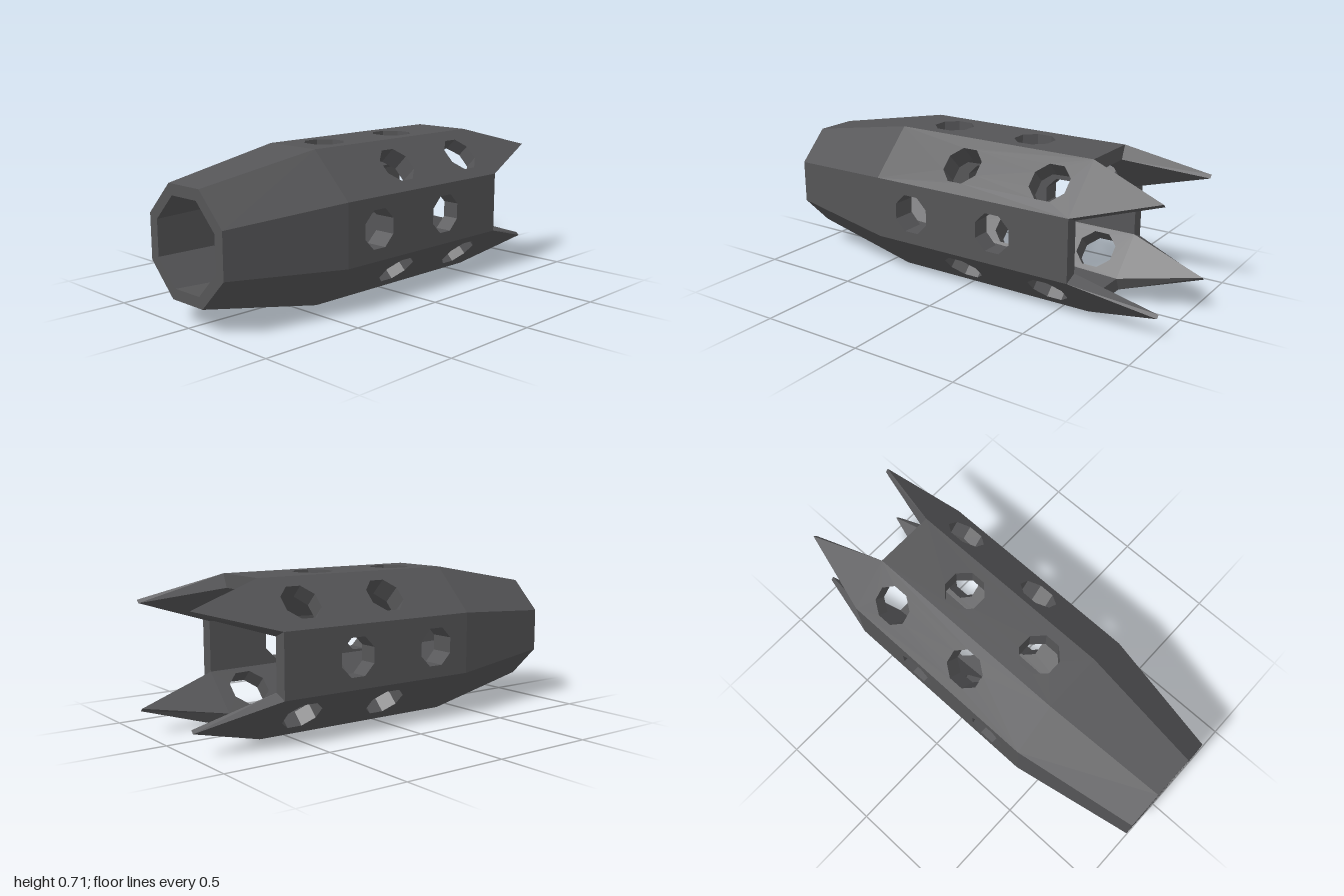
import * as THREE from 'three';

const REAR = -1, BEND = -0.41, FRONT = 0.625, TIP = 1;
const R_REAR = 0.25, R_OUT = 0.354, R_TIP = 0.334;
const HALF = Math.tan(Math.PI / 8); // half side length per unit of apothem
const HOLE = 0.089;

// Bore tapers evenly from the front to the rear
const bore = x => 0.2 + 0.09 * (x - REAR) / (FRONT - REAR);

// Collects flat polygons given as counter-clockwise corners
function builder() {
  const pos = [];
  return {
    face(...p) {
      for (let i = 1; i < p.length - 1; i++) pos.push(...p[0], ...p[i], ...p[i + 1]);
    },
    geometry() {
      const g = new THREE.BufferGeometry();
      g.setAttribute('position', new THREE.Float32BufferAttribute(pos, 3));
      g.computeVertexNormals();
      return g;
    }
  };
}

// Corner of a side at station x, apothem r, edge s (-1 or 1)
const corner = (x, r, s) => [x, r, s * r * HALF];

// Eight-sided vent outline
function ring(cx) {
  const r = HOLE / Math.cos(Math.PI / 8);
  return Array.from({ length: 8 }, (_, i) => {
    const a = (i + 0.5) * Math.PI / 4;
    return new THREE.Vector2(cx + r * Math.cos(a), r * Math.sin(a));
  });
}

// One side of the octagonal tube, lying on +y, with two vents
function panelGeometry(vents, hasSpike) {
  const b = builder();
  const rings = vents.map(ring);

  // perforated outer and inner skins
  const skin = (radius, inward) => {
    const w0 = radius(BEND) * HALF, w1 = radius(FRONT) * HALF;
    const shape = new THREE.Shape([
      new THREE.Vector2(BEND, -w0), new THREE.Vector2(FRONT, -w1),
      new THREE.Vector2(FRONT, w1), new THREE.Vector2(BEND, w0)
    ]);
    rings.forEach(r => shape.holes.push(new THREE.Path(r)));
    const g = new THREE.ShapeGeometry(shape).toNonIndexed();
    const p = g.attributes.position;
    for (let i = 0; i < p.count; i += 3) {
      const t = [0, 1, 2].map(j => {
        const x = p.getX(i + j);
        return [x, radius(x), -p.getY(i + j)];
      });
      b.face(...(inward ? t.reverse() : t));
    }
  };
  skin(() => R_OUT, false);
  skin(bore, true);

  // vent walls
  for (const r of rings) {
    r.forEach((p, i) => {
      const q = r[(i + 1) % r.length];
      b.face([q.x, bore(q.x), -q.y], [p.x, bore(p.x), -p.y],
        [p.x, R_OUT, -p.y], [q.x, R_OUT, -q.y]);
    });
  }

  // tapered rear and its end face
  const ri = bore(REAR), bi = bore(BEND), fi = bore(FRONT);
  b.face(corner(REAR, R_REAR, 1), corner(BEND, R_OUT, 1), corner(BEND, R_OUT, -1), corner(REAR, R_REAR, -1));
  b.face(corner(REAR, ri, -1), corner(BEND, bi, -1), corner(BEND, bi, 1), corner(REAR, ri, 1));
  b.face(corner(REAR, ri, -1), corner(REAR, ri, 1), corner(REAR, R_REAR, 1), corner(REAR, R_REAR, -1));

  // front end face
  if (!hasSpike) {
    b.face(corner(FRONT, fi, 1), corner(FRONT, fi, -1), corner(FRONT, R_OUT, -1), corner(FRONT, R_OUT, 1));
  }
  return b.geometry();
}

// Pointed prong continuing a side forward
function spikeGeometry() {
  const b = builder();
  const fi = bore(FRONT);
  const top = [TIP, R_OUT, 0], low = [TIP, R_TIP, 0];
  b.face(corner(FRONT, R_OUT, 1), top, corner(FRONT, R_OUT, -1));
  b.face(corner(FRONT, fi, -1), low, corner(FRONT, fi, 1));
  b.face(corner(FRONT, fi, 1), low, top, corner(FRONT, R_OUT, 1));
  b.face(corner(FRONT, R_OUT, -1), top, low, corner(FRONT, fi, -1));
  return b.geometry();
}

export function createModel() {
  const model = new THREE.Group();
  model.name = 'ventedMuzzle';
  const metal = new THREE.MeshStandardMaterial({ color: 0x555557 });
  metal.name = 'dark grey metal';

  const plain = panelGeometry([-0.215, 0.24], false);
  const pronged = panelGeometry([0.01, 0.47], true);
  const spike = spikeGeometry();

  // alternate plain and pronged sides around the axis
  for (let k = 0; k < 8; k++) {
    const side = new THREE.Group();
    side.name = `side${k + 1}`;
    const panel = new THREE.Mesh(k % 2 ? pronged : plain, metal);
    panel.name = 'ventedPanel';
    side.add(panel);
    if (k % 2) {
      const prong = new THREE.Mesh(spike, metal);
      prong.name = 'spike';
      side.add(prong);
    }
    side.rotation.x = k * Math.PI / 4;
    side.position.y = R_OUT;
    model.add(side);
  }
  return model;
}
